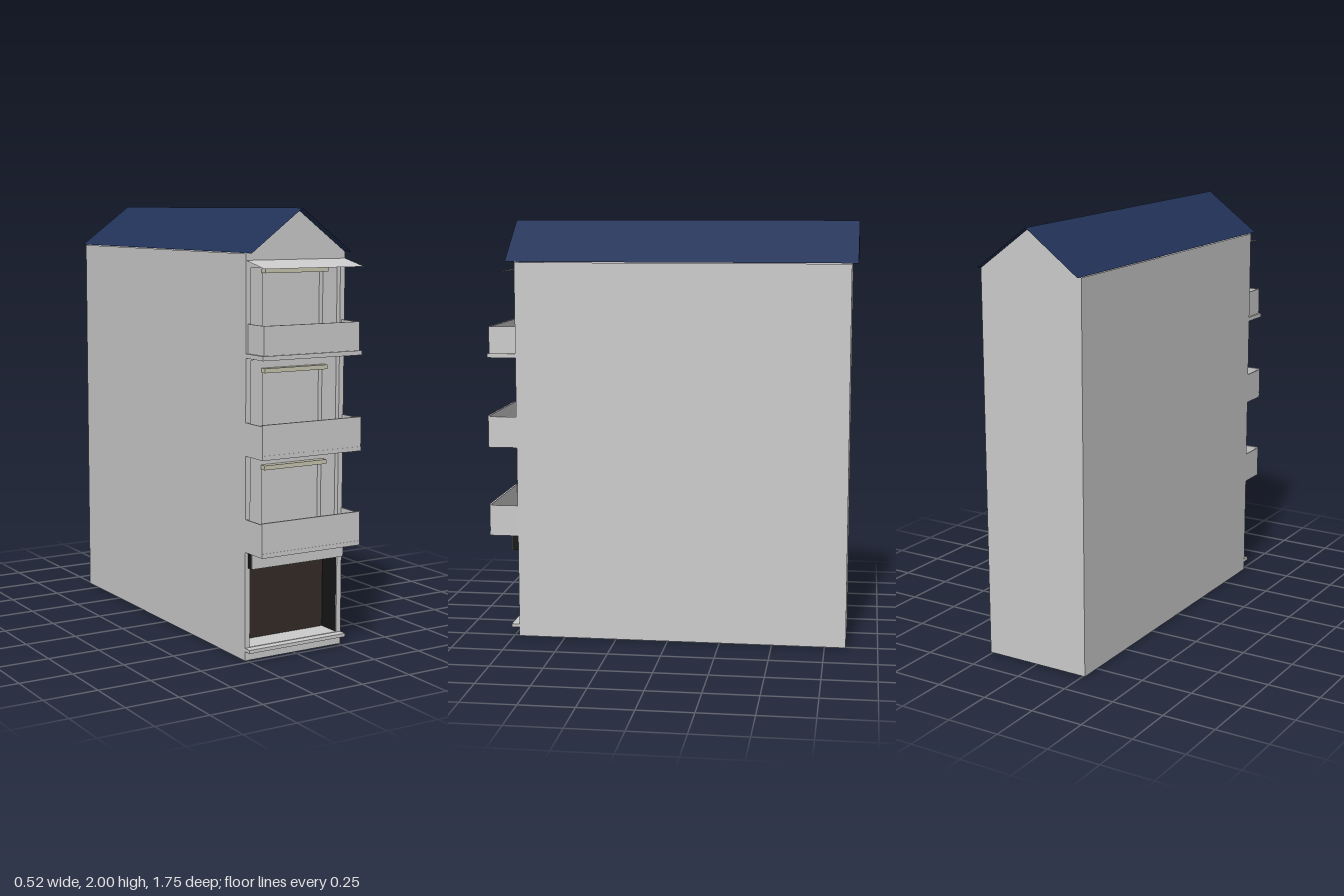
import * as THREE from 'three';

const HALF = 0.26, EAVES = 1.805, RIDGE = 2.0, FRONT = 0.725, BACK = -0.85;

const paint = (color) => new THREE.MeshStandardMaterial({ color, side: THREE.DoubleSide });
const grey = paint(0xcccccc), navy = paint(0x223258), brown = paint(0x352a26);
const black = paint(0x161616), tan = paint(0xc8c6b0);

export function createModel() {
  const model = new THREE.Group();

  const add = (name, geometry, material = grey, parent = model) => {
    const mesh = new THREE.Mesh(geometry, material);
    mesh.name = name;
    parent.add(mesh);
    return mesh;
  };
  // Box given by its limits on each axis
  const box = (name, [x0, x1], [y0, y1], [z0, z1], material, parent) => {
    const g = new THREE.BoxGeometry(x1 - x0, y1 - y0, z1 - z0);
    g.translate((x0 + x1) / 2, (y0 + y1) / 2, (z0 + z1) / 2);
    return add(name, g, material, parent);
  };
  // Thin flat sheet through four corners
  const sheet = (name, corners, material, parent) => {
    const g = new THREE.BufferGeometry();
    g.setAttribute('position', new THREE.Float32BufferAttribute(corners.flat(), 3));
    g.setIndex([0, 1, 2, 0, 2, 3]);
    g.computeVertexNormals();
    return add(name, g, material, parent);
  };
  const rectPoints = (hw, y0, y1) =>
    [[-hw, y0], [hw, y0], [hw, y1], [-hw, y1]].map(([x, y]) => new THREE.Vector2(x, y));
  const slab = (name, shape, z0, z1) =>
    add(name, new THREE.ExtrudeGeometry(shape, { depth: z1 - z0, bevelEnabled: false }).translate(0, 0, z0));
  const gable = () => new THREE.Shape(
    [[-HALF, 0], [HALF, 0], [HALF, EAVES], [0, RIDGE - 0.003], [-HALF, EAVES]].map(([x, y]) => new THREE.Vector2(x, y)));

  // Hollow shell, open underneath
  for (const s of [-1, 1]) {
    sheet(s > 0 ? 'leftWall' : 'rightWall',
      [[s * HALF, 0, FRONT], [s * HALF, 0, BACK], [s * HALF, EAVES, BACK], [s * HALF, EAVES, FRONT]]
        .slice()[s > 0 ? 'slice' : 'reverse']());
  }
  const back = new THREE.ShapeGeometry(gable());
  back.rotateY(Math.PI).translate(0, 0, BACK);
  add('backWall', back);

  // Front frame with openings for the shop and three floors
  const floors = [
    { y0: 0.495, y1: 0.915, head: 0.865 },
    { y0: 0.925, y1: 1.345, head: 1.295 },
    { y0: 1.355, y1: 1.745, head: 1.73 },
  ];
  const frame = gable();
  frame.holes.push(new THREE.Path(rectPoints(0.235, 0.06, 0.415)));
  for (const f of floors) frame.holes.push(new THREE.Path(rectPoints(0.235, f.y0, f.y1)));
  slab('frontFrame', frame, FRONT - 0.025, FRONT);

  // Recessed wall, balcony door and lintel on each floor
  floors.forEach((f, i) => {
    const wall = new THREE.Shape(rectPoints(0.235, f.y0, f.y1));
    wall.holes.push(new THREE.Path(rectPoints(0.158, f.y0 + 0.01, f.head - 0.01)));
    slab('recessedWall' + (i + 1), wall, 0.67, 0.7);
    box('balconyDoor' + (i + 1), [-0.16, 0.16], [f.y0, f.head], [0.665, 0.672]);
    box('doorLintel' + (i + 1), [-0.165, 0.165], [f.head - 0.01, f.head + 0.01], [0.69, 0.732], tan);
  });

  // Open-topped balconies
  floors.forEach((f, i) => {
    const g = new THREE.Group();
    g.name = 'balcony' + (i + 1);
    model.add(g);
    const top = i === 2;
    const w = top ? 0.25 : HALF, zf = top ? 0.855 : 0.862, yt = f.y0 + 0.148, t = 0.006;
    box('balconyFloor', [-HALF, HALF], [f.y0, f.y0 + 0.02], [0.7, 0.863], grey, g);
    box('balconyFront', [-w, w], [f.y0 + 0.01, yt + (top ? 0 : 0.006)], [zf - 0.01, zf], grey, g);
    box('balconySideLeft', [w - t, w], [f.y0 + 0.01, yt], [0.715, zf - 0.005], grey, g);
    box('balconySideRight', [-w, t - w], [f.y0 + 0.01, yt], [0.715, zf - 0.005], grey, g);
  });

  // Ground-floor shop: dark back, side cheeks, ceiling, floor ledge and sign board
  sheet('shopBack', [[-0.235, 0.05, 0.61], [0.235, 0.05, 0.61], [0.235, 0.415, 0.61], [-0.235, 0.415, 0.61]], brown);
  for (const x of [-0.235, 0.235])
    sheet('shopCheek', [[x, 0.05, 0.61], [x, 0.05, 0.72], [x, 0.415, 0.72], [x, 0.415, 0.61]], black);
  sheet('shopCeiling', [[-0.235, 0.415, 0.61], [0.235, 0.415, 0.61], [0.235, 0.415, 0.72], [-0.235, 0.415, 0.72]], black);
  box('shopFloor', [-0.235, 0.235], [0.04, 0.06], [0.61, 0.725]);
  box('doorstepLedge', [-HALF, HALF], [0.042, 0.058], [0.7, 0.763]);
  box('signBoard', [-0.245, 0.245], [0.422, 0.495], [0.72, 0.754], black);
  box('signFace', [-0.245, 0.245], [0.422, 0.495], [0.754, 0.757]);

  // Sloping canopy over the top floor
  sheet('canopy', [[-HALF, 1.745, 0.87], [HALF, 1.745, 0.87], [HALF, 1.778, 0.72], [-HALF, 1.778, 0.72]]);

  // Pitched roof with overhangs front and back
  sheet('roofLeft', [[0, RIDGE, 0.77], [HALF, 1.808, 0.77], [HALF, 1.808, -0.88], [0, RIDGE, -0.88]], navy);
  sheet('roofRight', [[0, RIDGE, -0.88], [-HALF, 1.808, -0.88], [-HALF, 1.808, 0.77], [0, RIDGE, 0.77]], navy);

  return model;
}
